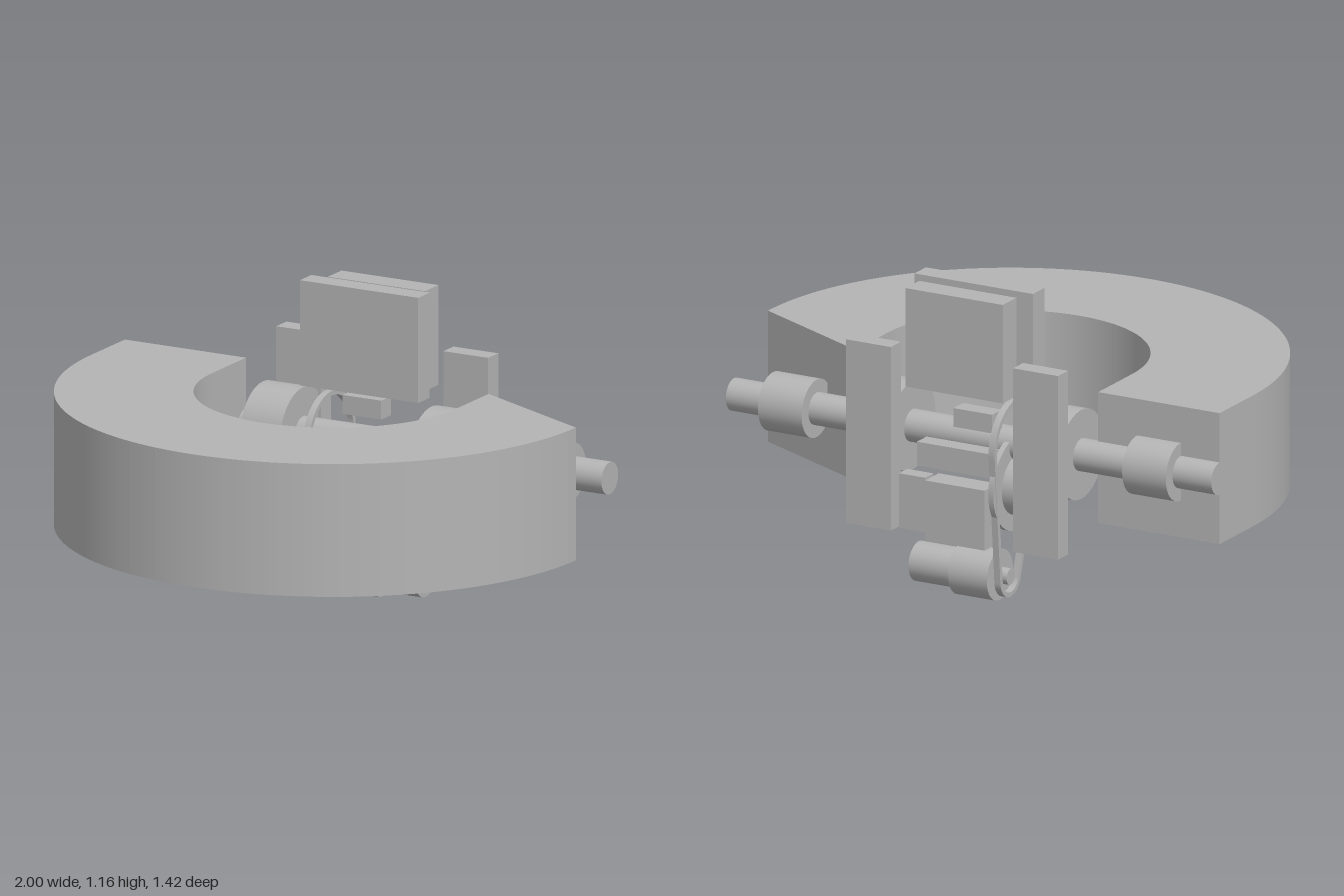
import * as THREE from 'three';

export function createModel() {
  const model = new THREE.Group();
  const grey = new THREE.MeshStandardMaterial({ color: 0xb4b4b4 });
  grey.name = 'plain grey';

  const add = (name, geometry, x = 0, y = 0, z = 0) => {
    const mesh = new THREE.Mesh(geometry, grey);
    mesh.name = name;
    mesh.position.set(x, y, z);
    model.add(mesh);
    return mesh;
  };
  // box given by its limits on each axis
  const block = (name, x0, x1, y0, y1, z0, z1) =>
    add(name, new THREE.BoxGeometry(x1 - x0, y1 - y0, z1 - z0), (x0 + x1) / 2, (y0 + y1) / 2, (z0 + z1) / 2);
  // cylinder lying along x
  const rod = (name, x0, x1, radius, y, z) =>
    add(name, new THREE.CylinderGeometry(radius, radius, x1 - x0, 48).rotateZ(Math.PI / 2), (x0 + x1) / 2, y, z);

  // horseshoe body
  const arcZ = -0.29, backZ = -0.535;
  const horseshoe = new THREE.Shape();
  horseshoe.moveTo(1, backZ);
  horseshoe.absarc(0, arcZ, 1, 0, Math.PI, false);
  horseshoe.lineTo(-1, backZ);
  horseshoe.lineTo(-0.5, backZ);
  horseshoe.absarc(0, arcZ, 0.5, Math.PI, 0, true);
  horseshoe.lineTo(0.5, backZ);
  horseshoe.closePath();
  add('horseshoeBody', new THREE.ExtrudeGeometry(horseshoe, {
    depth: 0.492, bevelEnabled: false, curveSegments: 64,
  }).rotateX(Math.PI / 2), 0, 0.825, 0);

  // main shaft with collars, wheels and upright pads on both sides
  const shaftY = 0.58, shaftZ = -0.535;
  rod('mainShaft', -1, 1, 0.06, shaftY, shaftZ);
  for (const s of [-1, 1]) {
    const pair = (a, b) => [Math.min(s * a, s * b), Math.max(s * a, s * b)];
    rod('shaftCollar', ...pair(0.66, 0.84), 0.108, shaftY, shaftZ);
    rod('wheel', ...pair(0.265, 0.43), 0.167, shaftY, shaftZ);
    block('uprightPad', ...pair(0.252, 0.437), 0.235, 0.925, -0.715, -0.642);
  }

  // upper plates
  block('frontPlate', -0.245, 0.243, 0.77, 1.16, -0.56, -0.477);
  block('rearPlate', -0.2, 0.2, 0.78, 1.15, -0.698, -0.6);

  // small housings behind and below the shaft
  block('upperHousing', -0.14, 0.02, 0.65, 0.72, -0.67, -0.6);
  block('middleHousing', -0.13, 0.17, 0.48, 0.57, -0.67, -0.6);
  block('lowerHousing', -0.125, 0.12, 0.215, 0.44, -0.698, -0.6);
  block('sideHousing', 0.12, 0.228, 0.245, 0.45, -0.698, -0.638);

  // lower disc and its hub
  rod('lowerDisc', -0.168, -0.147, 0.176, 0.433, shaftZ);
  rod('lowerHub', -0.23, -0.168, 0.11, 0.428, -0.54);

  // motor
  const motorY = 0.094, motorZ = -0.588;
  rod('motorBody', -0.125, 0.035, 0.094, motorY, motorZ);
  rod('motorCap', 0.035, 0.21, 0.073, motorY, motorZ);
  rod('motorAxle', -0.17, -0.125, 0.03, motorY, motorZ);

  // belt running from the shaft down to the motor
  const dz = motorZ - shaftZ, dy = motorY - shaftY;
  const loop = (path, upper, lower) => {
    const aim = Math.atan2(dy, dz);
    const spread = Math.acos((upper - lower) / Math.hypot(dy, dz));
    path.absarc(shaftZ, shaftY, upper, aim + spread, aim - spread + 2 * Math.PI, false);
    path.absarc(motorZ, motorY, lower, aim - spread, aim + spread, false);
    path.closePath();
    return path;
  };
  const belt = loop(new THREE.Shape(), 0.17, 0.075);
  belt.holes.push(loop(new THREE.Path(), 0.153, 0.058));
  add('driveBelt', new THREE.ExtrudeGeometry(belt, {
    depth: 0.025, bevelEnabled: false, curveSegments: 24,
  }).rotateY(-Math.PI / 2), -0.145, 0, 0);

  return model;
}
